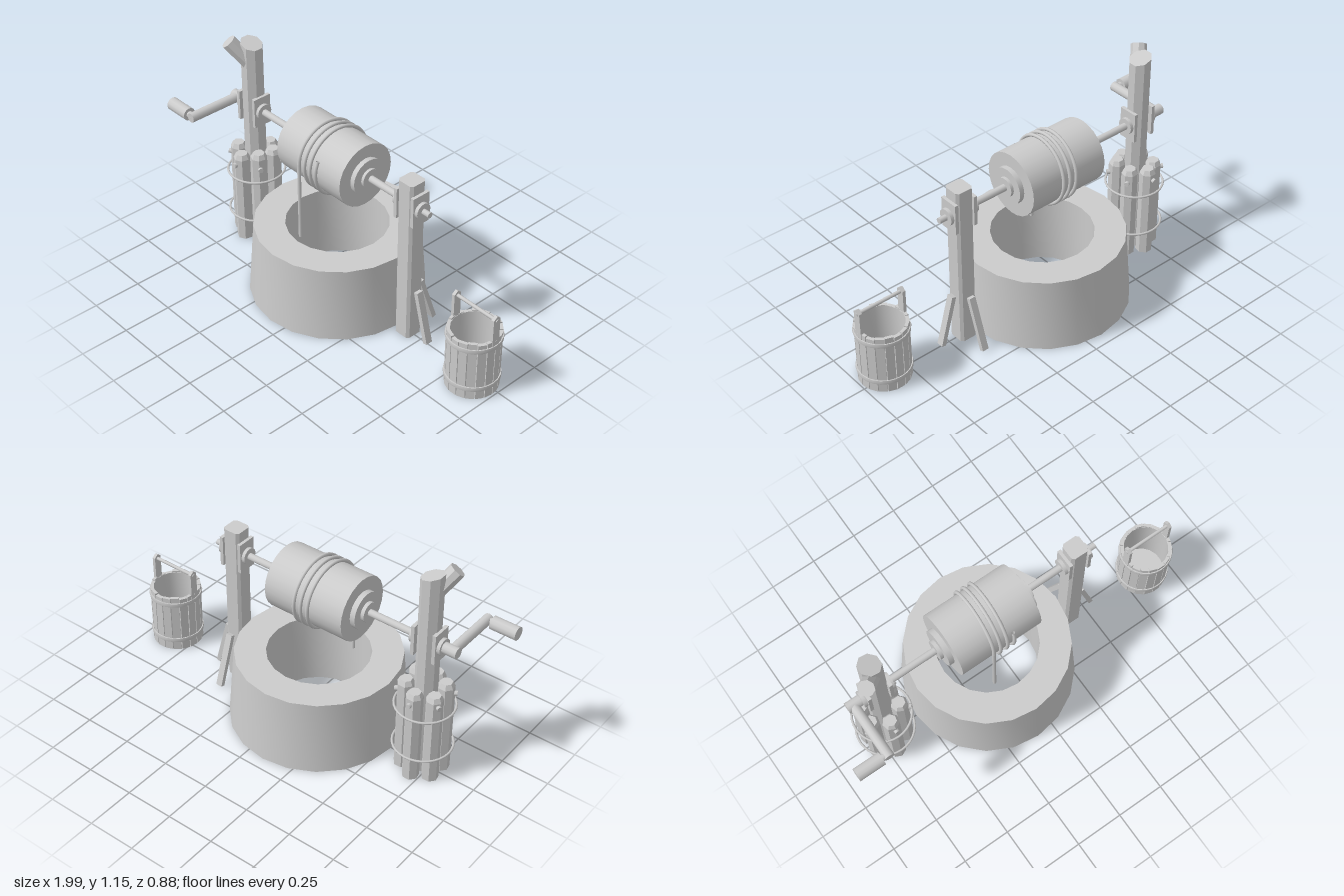
import * as THREE from 'three';
import { toCreasedNormals } from 'three/addons/utils/BufferGeometryUtils.js';

const smooth = new THREE.MeshStandardMaterial({ color: 0xcccccc, side: THREE.DoubleSide });
const faceted = new THREE.MeshStandardMaterial({ color: 0xcccccc, flatShading: true });
const V = (x, y, z) => new THREE.Vector3(x, y, z);
const UP = V(0, 1, 0);

function add(parent, name, geometry, material = smooth) {
  const mesh = new THREE.Mesh(geometry, material);
  mesh.name = name;
  parent.add(mesh);
  return mesh;
}

// Lathe from [radius, height] pairs with sharp profile corners
function lathe(points, sides) {
  const geo = new THREE.LatheGeometry(points.map(p => new THREE.Vector2(...p)), sides);
  return toCreasedNormals(geo, 0.6);
}

// Straight piece stretched between two points
function between(mesh, a, b) {
  mesh.position.copy(a).lerp(b, 0.5);
  mesh.quaternion.setFromUnitVectors(UP, b.clone().sub(a).normalize());
  return mesh;
}
function rod(parent, name, a, b, r, sides = 12, material = smooth) {
  const geo = new THREE.CylinderGeometry(r, r, a.distanceTo(b), sides);
  return between(add(parent, name, geo, material), a, b);
}
function plank(parent, name, a, b, w, d) {
  return between(add(parent, name, new THREE.BoxGeometry(w, a.distanceTo(b), d), faceted), a, b);
}

const AXLE_Y = 0.75;
const alongX = (parent, name, x0, x1, r, sides = 20) =>
  rod(parent, name, V(x0, AXLE_Y, 0), V(x1, AXLE_Y, 0), r, sides);

function buildWell(root) {
  const wall = add(root, 'wellWall',
    lathe([[0.44, 0], [0.41, 0.385], [0.255, 0.385], [0.255, 0]], 20));
  wall.position.x = -0.09;
}

function buildWindlass(root) {
  const g = new THREE.Group();
  g.name = 'windlass';
  root.add(g);
  alongX(g, 'axle', -0.83, 0.49, 0.018, 12);
  alongX(g, 'axleTip', 0.49, 0.53, 0.015, 10);
  alongX(g, 'drum', -0.335, 0.105, 0.163, 24);
  alongX(g, 'drumFlange', -0.362, 0.13, 0.095);
  alongX(g, 'drumHub', -0.38, 0.145, 0.05);

  // Wound rope running off the front of the drum into the well
  const pts = [];
  const start = 66, end = 90 + 360 * 3, steps = 84;
  for (let i = 0; i <= steps; i++) {
    const t = i / steps;
    const a = THREE.MathUtils.degToRad(start + (end - start) * t);
    pts.push(V(-0.05 - 0.118 * t, AXLE_Y + 0.171 * Math.cos(a), 0.171 * Math.sin(a)));
  }
  add(g, 'ropeCoil', new THREE.TubeGeometry(new THREE.CatmullRomCurve3(pts), 180, 0.009, 8));
  rod(g, 'hangingRope', V(-0.168, AXLE_Y, 0.171), V(-0.168, 0.33, 0.171), 0.009, 8);

  // Crank
  alongX(g, 'crankHub', -0.86, -0.785, 0.028, 12);
  rod(g, 'crankArm', V(-0.828, AXLE_Y, -0.01), V(-0.828, AXLE_Y, 0.3), 0.025, 12);
  rod(g, 'crankPin', V(-0.87, AXLE_Y, 0.283), V(-0.82, AXLE_Y, 0.283), 0.018, 10);
  rod(g, 'crankHandle', V(-0.995, AXLE_Y, 0.283), V(-0.86, AXLE_Y, 0.283), 0.034, 12);
}

// Square bearing plates and round collars on both sides of a post
function buildBearing(root, x, half) {
  for (const s of [-1, 1]) {
    const plate = add(root, 'bearingPlate', new THREE.BoxGeometry(0.018, 0.16, 0.1), faceted);
    plate.position.set(x + s * (half + 0.007), AXLE_Y, 0);
    const c = x + s * (half + 0.022);
    alongX(root, 'bearingCollar', c - 0.011, c + 0.011, 0.042, 16);
  }
}

function buildSquaredPost(root) {
  const h = 0.047, b = 0.034;
  const shape = new THREE.Shape([[h, -b], [h, b], [b, h], [-b, h], [-h, b], [-h, -b], [-b, -h], [b, -h]]
    .map(p => new THREE.Vector2(...p)));
  const geo = new THREE.ExtrudeGeometry(shape, { depth: 0.885, bevelEnabled: false });
  geo.rotateX(-Math.PI / 2);
  add(root, 'squaredPost', geo, faceted).position.x = 0.41;
  buildBearing(root, 0.41, 0.047);
  plank(root, 'sideBrace', V(0.473, 0.275, 0), V(0.545, 0.008, 0), 0.024, 0.036);
  plank(root, 'backBrace', V(0.412, 0.275, -0.068), V(0.412, 0.008, -0.16), 0.034, 0.024);
}

function buildTrunkPost(root) {
  const g = new THREE.Group();
  g.name = 'trunkPost';
  g.position.x = -0.705;
  root.add(g);

  // Rough trunk with a slanted cut at the top
  const geo = new THREE.CylinderGeometry(0.056, 0.056, 1.11, 8);
  geo.rotateY(Math.PI / 8).translate(0, 0.555, 0);
  const p = geo.attributes.position;
  for (let i = 0; i < p.count; i++) {
    if (p.getY(i) > 1) p.setY(i, 1.108 - 0.3 * p.getX(i));
  }
  add(g, 'trunk', geo, faceted);
  rod(g, 'branchStub', V(0, 1.0, 0.01), V(-0.07, 1.12, 0.085), 0.04, 8, faceted);

  // Ring of bound logs
  const heights = [0.53, 0.51, 0.52, 0.5, 0.51, 0.52];
  heights.forEach((top, i) => {
    const a = (i + 0.5) * Math.PI / 3;
    const dx = Math.cos(a), dz = Math.sin(a);
    const log = add(g, 'log', new THREE.LatheGeometry([[0, 0], [0.042, 0], [0.042, top - 0.025],
      [0.03, top], [0, top]].map(q => new THREE.Vector2(...q)), 7), faceted);
    log.position.set(dx * 0.092, 0, dz * 0.092);
    log.rotation.y = i * 0.9;
    rod(g, 'peg', V(dx * 0.12, 0.455, dz * 0.12), V(dx * 0.145, 0.455, dz * 0.145), 0.013, 8);
  });
  for (const y of [0.145, 0.382]) {
    const hoop = add(g, 'logHoop', new THREE.TorusGeometry(0.145, 0.006, 6, 32));
    hoop.rotation.x = Math.PI / 2;
    hoop.position.y = y;
  }
  buildBearing(root, -0.705, 0.05);
}

function buildBucket(root) {
  const g = new THREE.Group();
  g.name = 'bucket';
  g.position.set(0.86, 0, 0.027);
  root.add(g);

  // Inner lining with floor, closed underside
  add(g, 'bucketLining', lathe([[0, 0.015], [0.12, 0.015], [0.12, 0.318], [0.112, 0.318],
    [0.112, 0.04], [0, 0.04]], 18));
  const count = 18;
  for (let i = 0; i < count; i++) {
    const a = i / count * Math.PI * 2;
    const top = 0.318 + 0.004 * (i % 3);
    const stave = add(g, 'stave', new THREE.BoxGeometry(0.041, top, 0.016), faceted);
    stave.position.set(Math.sin(a) * 0.12, top / 2, Math.cos(a) * 0.12);
    stave.rotation.y = a;
  }
  for (const y of [0.06, 0.285]) {
    const band = [[0.124, -0.011], [0.134, -0.011], [0.136, 0], [0.134, 0.011], [0.124, 0.011], [0.124, -0.011]];
    add(g, 'bucketHoop', lathe(band, 24)).position.y = y;
  }

  // Pointed uprights with a cross bar
  const outline = [[-0.021, 0.28], [0.021, 0.28], [0.021, 0.445], [0, 0.462], [-0.021, 0.445]];
  const earShape = new THREE.Shape(outline.map(q => new THREE.Vector2(...q)));
  for (const s of [-1, 1]) {
    const geo = new THREE.ExtrudeGeometry(earShape, { depth: 0.016, bevelEnabled: false });
    geo.translate(0, 0, -0.008).rotateY(Math.PI / 2);
    add(g, 'handleUpright', geo, faceted).position.x = s * 0.121;
  }
  rod(g, 'handleBar', V(-0.133, 0.437, 0), V(0.133, 0.437, 0), 0.009, 10);
}

export function createModel() {
  const root = new THREE.Group();
  root.name = 'well';
  buildWell(root);
  buildWindlass(root);
  buildSquaredPost(root);
  buildTrunkPost(root);
  buildBucket(root);
  return root;
}
